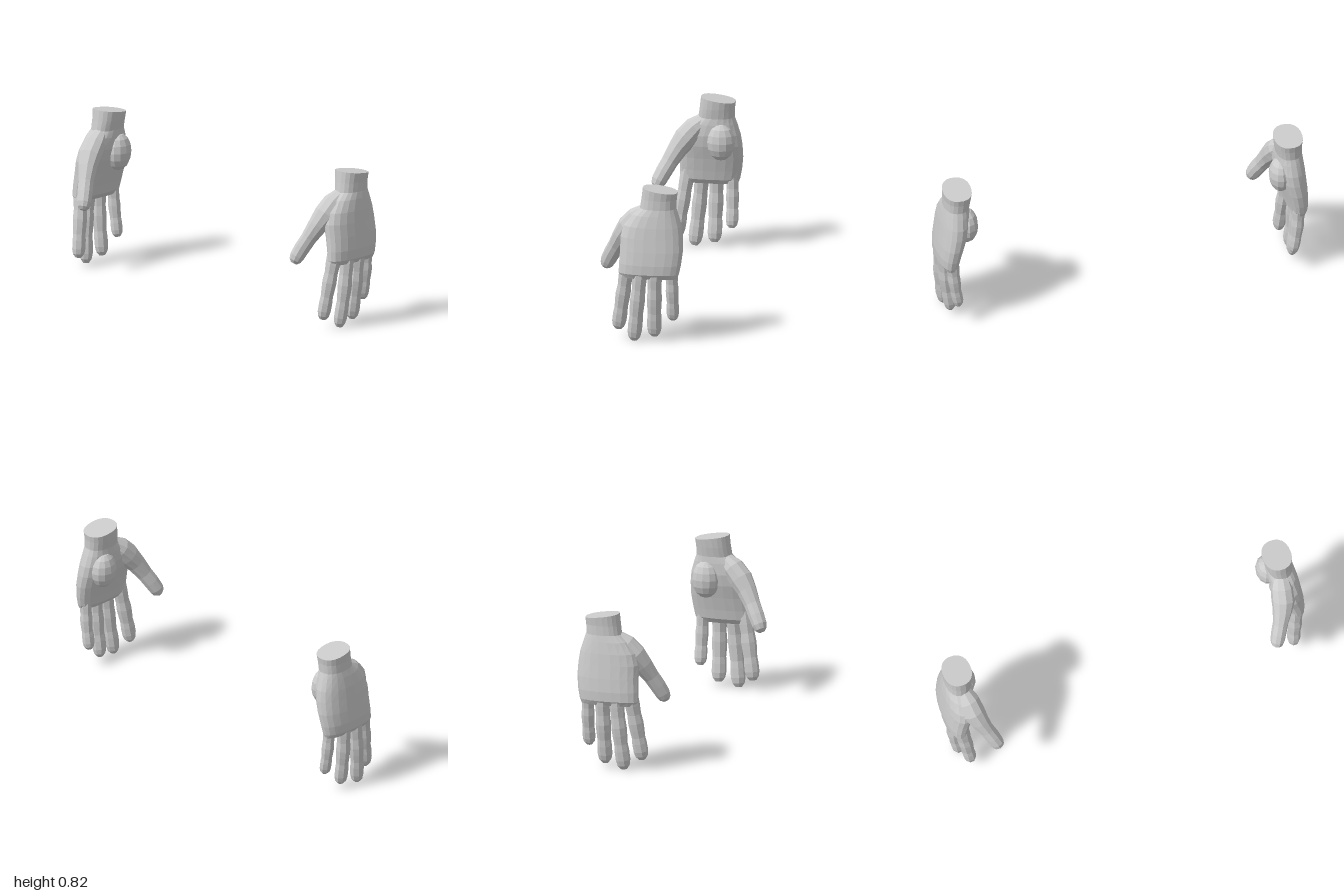
import * as THREE from 'three';

const skin = new THREE.MeshStandardMaterial({ color: 0xcccccc });
skin.name = 'plain grey';
skin.flatShading = true;

// Skin a row of sections { c: centre, a: half size across x, b: half size along the other axis }
function loft(sections, sides, power, level) {
  const pos = [], index = [], n = sections.length;
  sections.forEach(({ c, a, b }, k) => {
    const t = level ? new THREE.Vector3(0, -1, 0)
      : sections[Math.min(k + 1, n - 1)].c.clone().sub(sections[Math.max(k - 1, 0)].c).normalize();
    const u = new THREE.Vector3(1, 0, 0).addScaledVector(t, -t.x).normalize();
    const v = t.clone().cross(u);
    for (let i = 0; i < sides; i++) {
      const ang = (i + 0.5) / sides * Math.PI * 2;
      const round = (w) => Math.sign(w) * Math.abs(w) ** (2 / power) / Math.cos(Math.PI / sides);
      const p = c.clone().addScaledVector(u, a * round(Math.cos(ang))).addScaledVector(v, b * round(Math.sin(ang)));
      pos.push(p.x, p.y, p.z);
    }
  });
  const first = n * sides, last = first + 1, end = (n - 1) * sides;
  pos.push(...sections[0].c.toArray(), ...sections[n - 1].c.toArray());
  for (let i = 0; i < sides; i++) {
    const j = (i + 1) % sides;
    for (let k = 0; k < n - 1; k++) {
      const r = k * sides, s = r + sides;
      index.push(r + i, r + j, s + i, r + j, s + j, s + i);
    }
    index.push(first, j, i, last, end + i, end + j);
  }
  const geo = new THREE.BufferGeometry();
  geo.setAttribute('position', new THREE.Float32BufferAttribute(pos, 3));
  geo.setIndex(index);
  return geo;
}

// Wrist and palm rings: y, front z, back z, inner x, outer x
const PALM = [
  [0.812, -0.015, -0.195, 0.82, 0.97], [0.765, -0.008, -0.19, 0.825, 0.966],
  [0.715, 0, -0.188, 0.833, 0.966], [0.68, 0.04, -0.2, 0.83, 0.973],
  [0.62, 0.083, -0.218, 0.83, 0.982], [0.56, 0.1, -0.226, 0.84, 0.988],
  [0.49, 0.1, -0.228, 0.86, 0.995], [0.42, 0.104, -0.22, 0.877, 1.0],
  [0.37, 0.106, -0.21, 0.887, 0.998], [0.345, 0.095, -0.2, 0.905, 0.983],
];

function palmGeometry() {
  const geo = loft(PALM.map(([y, zf, zb, xi, xo]) => ({
    c: new THREE.Vector3((xi + xo) / 2, y, (zf + zb) / 2), a: (xo - xi) / 2, b: (zf - zb) / 2,
  })), 20, 2.3, true);
  // Slope the cut at the top of the wrist
  const p = geo.attributes.position;
  for (let i = 0; i < p.count; i++) {
    if (p.getY(i) > 0.8) p.setY(i, p.getY(i) + (p.getZ(i) + 0.105) * 0.14);
  }
  return geo;
}

// Fingers: base, middle and tip points, and half width
const FINGERS = {
  indexFinger: [[0.938, 0.42, 0.06], [0.918, 0.22, 0.092], [0.902, 0.052, 0.117], 0.036],
  middleFinger: [[0.955, 0.42, -0.013], [0.952, 0.2, 0.008], [0.934, 0.002, 0.028], 0.036],
  ringFinger: [[0.957, 0.42, -0.087], [0.945, 0.21, -0.082], [0.922, 0.026, -0.079], 0.036],
  littleFinger: [[0.94, 0.42, -0.17], [0.925, 0.25, -0.174], [0.903, 0.112, -0.174], 0.031],
};

// Position along the finger and swelling at knuckles and pads
const SWELL = [[0, 1], [0.2, 1], [0.33, 0.93], [0.46, 1.04], [0.56, 1], [0.67, 0.92],
  [0.76, 1], [0.88, 1], [0.95, 0.85], [1, 0.45]];

function fingerGeometry([base, mid, tip, r]) {
  const path = new THREE.CatmullRomCurve3([base, mid, tip].map((p) => new THREE.Vector3(...p)));
  return loft(SWELL.map(([t, s]) => ({
    c: path.getPointAt(t), a: r * s * (1.1 - 0.25 * t), b: r * s,
  })), 8, 2, false);
}

// Thumb with its muscle: x, y, z, half depth, half width
const THUMB = [
  [0.892, 0.7, -0.035, 0.04, 0.035], [0.88, 0.655, 0.015, 0.058, 0.055], [0.868, 0.6, 0.062, 0.06, 0.06],
  [0.848, 0.545, 0.102, 0.049, 0.05], [0.822, 0.48, 0.14, 0.038, 0.042], [0.802, 0.43, 0.168, 0.038, 0.041],
  [0.786, 0.385, 0.191, 0.036, 0.038], [0.781, 0.362, 0.201, 0.03, 0.031], [0.778, 0.348, 0.208, 0.015, 0.016],
];

function thumbGeometry() {
  return loft(THUMB.map(([x, y, z, a, b]) => ({ c: new THREE.Vector3(x, y, z), a, b })), 10, 2, false);
}

function heelGeometry() {
  return new THREE.SphereGeometry(1, 12, 8).scale(0.06, 0.1, 0.075).translate(0.848, 0.59, -0.125);
}

// Mirror across x and turn the faces back outward
function mirror(geo) {
  geo.scale(-1, 1, 1);
  const ix = geo.index;
  for (let i = 0; i < ix.count; i += 3) {
    const b = ix.getX(i + 1);
    ix.setX(i + 1, ix.getX(i + 2));
    ix.setX(i + 2, b);
  }
}

function makeHand(name, mirrored) {
  const hand = new THREE.Group();
  hand.name = name;
  const parts = { wristAndPalm: palmGeometry(), heelOfPalm: heelGeometry(), thumb: thumbGeometry() };
  for (const key in FINGERS) parts[key] = fingerGeometry(FINGERS[key]);
  for (const key in parts) {
    if (mirrored) mirror(parts[key]);
    parts[key].computeVertexNormals();
    const mesh = new THREE.Mesh(parts[key], skin);
    mesh.name = key;
    hand.add(mesh);
  }
  return hand;
}

export function createModel() {
  const model = new THREE.Group();
  model.name = 'pairOfHands';
  model.add(makeHand('leftHand', false), makeHand('rightHand', true));
  return model;
}
